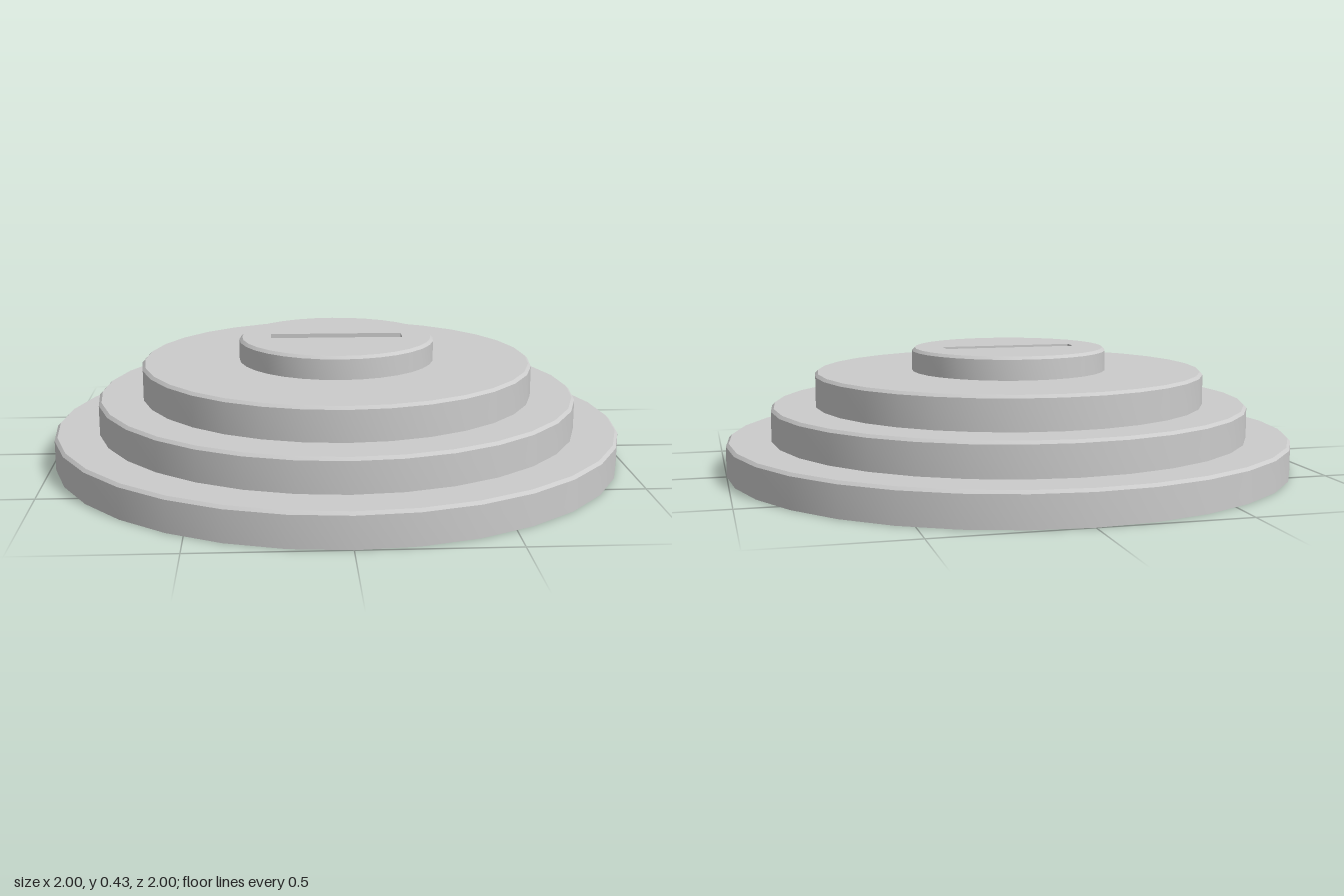
import * as THREE from 'three';
import { toCreasedNormals } from 'three/addons/utils/BufferGeometryUtils.js';

const SIDES = 32;
const BEVEL = 0.01;

export function createModel() {
  const group = new THREE.Group();
  const material = new THREE.MeshStandardMaterial({ color: 0xcccccc });

  const add = (name, geometry) => {
    const mesh = new THREE.Mesh(toCreasedNormals(geometry, 0.5), material);
    mesh.name = name;
    group.add(mesh);
    return mesh;
  };
  const lathe = (points) =>
    new THREE.LatheGeometry(points.map(([r, y]) => new THREE.Vector2(r, y)), SIDES);
  // Outer wall of one disc with a small chamfer on its top edge
  const step = (r, y0, y1) => [[r, y0], [r, y1 - BEVEL], [r - BEVEL, y1]];

  // Stepped body, hollow underneath with a round socket in the middle
  add('steppedBody', lathe([
    [0, 0.19], [0.29, 0.19], [0.29, 0.108],
    [0.93, 0.108], [0.93, 0],
    ...step(1, 0, 0.115),
    ...step(0.845, 0.115, 0.23),
    ...step(0.69, 0.23, 0.345),
    [0, 0.345],
  ]));

  // Chamfered rim of the top knob
  const rKnob = 0.345, yKnob = 0.345, yTop = 0.425;
  add('knobRim', lathe(step(rKnob, yKnob, yTop)));

  // Knob core pierced by a straight slot
  const shape = new THREE.Shape();
  for (let i = 0; i < SIDES; i++) {
    const a = (i / SIDES) * Math.PI * 2, r = rKnob - BEVEL;
    shape[i ? 'lineTo' : 'moveTo'](r * Math.cos(a), r * Math.sin(a));
  }
  shape.closePath();
  const w = 0.233, d = 0.035;
  const slot = new THREE.Path([[-w, -d], [-w, d], [w, d], [w, -d]].map(([x, y]) => new THREE.Vector2(x, y)));
  slot.closePath();
  shape.holes.push(slot);
  const core = new THREE.ExtrudeGeometry(shape, { depth: yTop - yKnob, bevelEnabled: false });
  core.rotateX(-Math.PI / 2);
  core.translate(0, yKnob, 0);
  add('slottedKnob', core);

  return group;
}
